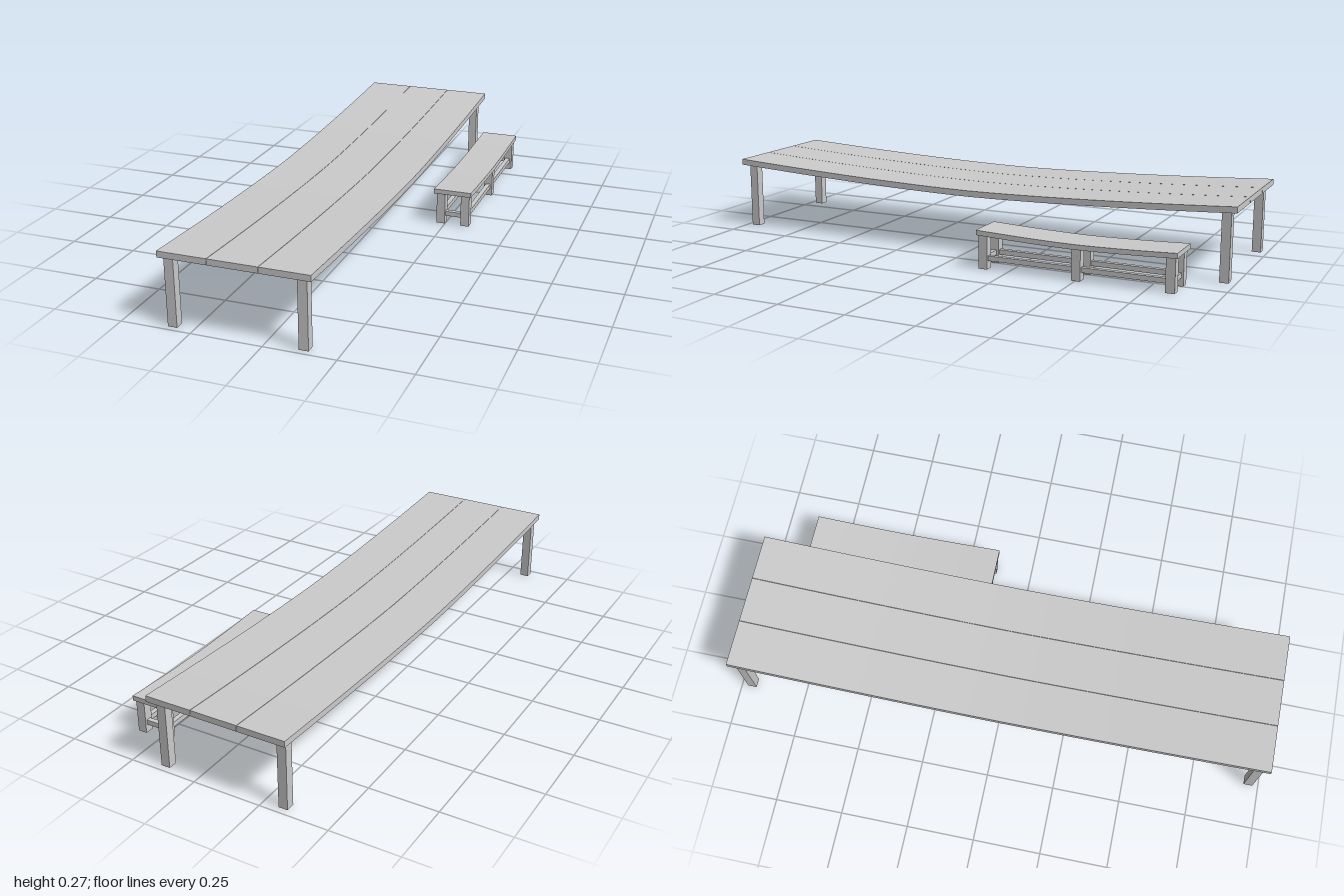
import * as THREE from 'three';

const material = new THREE.MeshStandardMaterial({ color: 0xcccccc, flatShading: true });

function box(name, x0, x1, y0, y1, z0, z1) {
  const mesh = new THREE.Mesh(new THREE.BoxGeometry(x1 - x0, y1 - y0, z1 - z0), material);
  mesh.position.set((x0 + x1) / 2, (y0 + y1) / 2, (z0 + z1) / 2);
  mesh.name = name;
  return mesh;
}

// Board that dips by `sag` at mid length; its ends stay at full height
function saggingBoard(name, x0, x1, top, thickness, z0, z1, sag) {
  const length = z1 - z0;
  const geometry = new THREE.BoxGeometry(x1 - x0, thickness, length, 1, 1, 20);
  const p = geometry.attributes.position;
  for (let i = 0; i < p.count; i++) {
    const t = Math.abs(p.getZ(i)) / (length / 2);
    p.setY(i, p.getY(i) - sag * (1 - Math.pow(t, 1.6)));
  }
  geometry.computeVertexNormals();
  const mesh = new THREE.Mesh(geometry, material);
  mesh.position.set((x0 + x1) / 2, top - thickness / 2, (z0 + z1) / 2);
  mesh.name = name;
  return mesh;
}

function createTable() {
  const table = new THREE.Group();
  table.name = 'table';
  // Three long planks with hairline gaps
  const width = 0.173, pitch = 0.1745;
  for (let i = 0; i < 3; i++) {
    const x = -0.352 + i * pitch;
    table.add(saggingBoard('tablePlank', x, x + width, 0.271, 0.022, -1, 1, 0.037));
  }
  // Corner legs
  for (const x of [-0.3235, 0.1315])
    for (const z of [-0.96, 0.963])
      table.add(box('tableLeg', x - 0.0165, x + 0.0165, 0, 0.2495, z - 0.0165, z + 0.0165));
  return table;
}

function createBench() {
  const bench = new THREE.Group();
  bench.name = 'bench';
  bench.add(saggingBoard('benchSeat', 0.205, 0.351, 0.14, 0.018, -0.857, -0.13, 0.011));

  const legX = [0.232, 0.3275], legZ = [-0.833, -0.502, -0.153], h = 0.0165;
  for (const x of legX) {
    // Three legs per side, the middle one shorter under the dip
    legZ.forEach((z, i) =>
      bench.add(box('benchLeg', x - h, x + h, 0, i === 1 ? 0.112 : 0.122, z - h, z + h)));
    // Long rails between neighbouring legs
    for (let i = 0; i < 2; i++)
      bench.add(box('benchRail', x - 0.009, x + 0.009, 0.03, 0.048, legZ[i] + h, legZ[i + 1] - h));
  }
  // Cross rails at both ends
  for (const z of [legZ[0], legZ[2]])
    bench.add(box('benchCrossRail', legX[0] + h, legX[1] - h, 0.03, 0.048, z - 0.009, z + 0.009));
  return bench;
}

export function createModel() {
  const model = new THREE.Group();
  model.name = 'tableAndBench';
  model.add(createTable(), createBench());
  return model;
}
